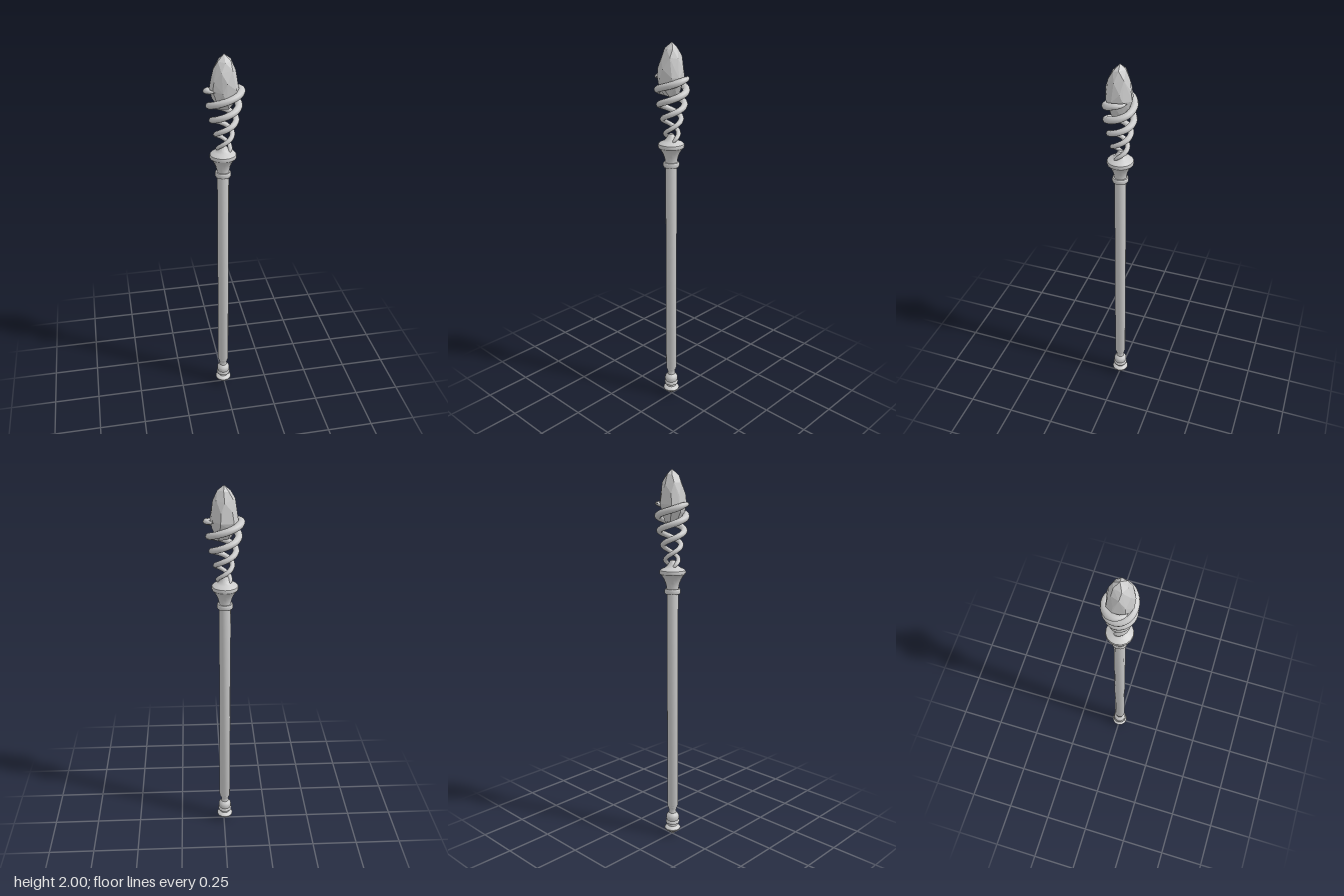
import * as THREE from 'three';
import { toCreasedNormals } from 'three/addons/utils/BufferGeometryUtils.js';
import { ConvexGeometry } from 'three/addons/geometries/ConvexGeometry.js';

const grey = new THREE.MeshStandardMaterial({ color: 0xcccccc });
const flat = new THREE.MeshStandardMaterial({ color: 0xcccccc, flatShading: true });
const AXIS_X = -0.005;

function add(group, name, geometry, material = grey) {
  const mesh = new THREE.Mesh(geometry, material);
  mesh.name = name;
  group.add(mesh);
  return mesh;
}

// Turned part from [radius, height] pairs, listed bottom to top
function turned(group, name, profile, sides = 16) {
  const points = profile.map(([r, y]) => new THREE.Vector2(r, y));
  const mesh = add(group, name, toCreasedNormals(new THREE.LatheGeometry(points, sides), 0.6));
  mesh.position.x = AXIS_X;
}

// Piecewise linear lookup in evenly spaced values
function sample(values, u) {
  const c = THREE.MathUtils.clamp(u, 0, values.length - 1);
  const i = Math.min(Math.floor(c), values.length - 2);
  return THREE.MathUtils.lerp(values[i], values[i + 1], c - i);
}

// Descending, narrowing spiral strand with an oval section and pointed tip
function strandGeometry() {
  const steps = 72, sides = 10, start = -0.9, end = 13.4;
  const radii = [0.083, 0.071, 0.059, 0.041, 0.03]; // one per half turn
  const position = [], index = [];
  for (let i = 0; i <= steps; i++) {
    const s = THREE.MathUtils.lerp(start, end, i / steps);
    const u = s / Math.PI;
    const r = sample(radii, u);
    const squash = 0.8 + 0.2 * THREE.MathUtils.clamp(s / 5, 0, 1);
    const y = 1.828 - 0.0235 * Math.max(s, s * 0.3);
    const taper = Math.max(0.04, Math.min(1, Math.sqrt(i / 7), Math.sqrt((steps - i) / 3)));
    const wide = sample([0.022, 0.019, 0.016, 0.013, 0.012], u) * taper;
    const tall = sample([0.018, 0.018, 0.016, 0.014, 0.012], u) * taper;
    for (let j = 0; j < sides; j++) {
      const b = (j / sides) * Math.PI * 2;
      const d = r + wide * Math.cos(b);
      position.push(d * Math.cos(s), y + tall * Math.sin(b), d * Math.sin(s) * squash);
      if (i < steps) {
        const p = i * sides + j, q = i * sides + (j + 1) % sides;
        index.push(p, q, p + sides, q, q + sides, p + sides);
      }
    }
  }
  const geometry = new THREE.BufferGeometry();
  geometry.setAttribute('position', new THREE.Float32BufferAttribute(position, 3));
  geometry.setIndex(index);
  geometry.computeVertexNormals();
  return geometry;
}

// Irregular cut stone: convex hull of slightly uneven rings
function crystalGeometry() {
  let seed = 11;
  const random = () => (seed = (seed * 16807) % 2147483647) / 2147483647;
  const rings = [[0.036, 1.745, 6], [0.06, 1.79, 7], [0.069, 1.835, 8],
    [0.064, 1.88, 7], [0.052, 1.93, 7], [0.034, 1.972, 6]];
  const points = [new THREE.Vector3(0, 2, 0)];
  rings.forEach(([r, y, n], k) => {
    for (let i = 0; i < n; i++) {
      const a = ((i + k * 0.5 + 0.35 * random()) / n) * Math.PI * 2;
      const d = r * (0.95 + 0.1 * random());
      points.push(new THREE.Vector3(d * Math.cos(a), y + 0.014 * (random() - 0.5), d * Math.sin(a) + 0.003));
    }
  });
  return new ConvexGeometry(points);
}

export function createModel() {
  const group = new THREE.Group();
  group.name = 'staff';

  turned(group, 'pommel', [
    [0, 0], [0.02, 0.018], [0.043, 0.036], [0.045, 0.043], [0.04, 0.05], [0.026, 0.057],
    [0.025, 0.068], [0.037, 0.074], [0.039, 0.081], [0.037, 0.088], [0.033, 0.092],
    [0.036, 0.1], [0.035, 0.118], [0.029, 0.128], [0.021, 0.136], [0.02, 0.148],
    [0.023, 0.164], [0.029, 0.176], [0.029, 0.18],
  ]);
  turned(group, 'shaft', [[0, 0.176], [0.026, 0.176], [0.03, 0.182], [0.03, 1.385]], 12);
  turned(group, 'collar', [
    [0.029, 1.378], [0.038, 1.378], [0.041, 1.383], [0.041, 1.399], [0.038, 1.404], [0.03, 1.404],
  ]);
  turned(group, 'flaredCup', [
    [0.031, 1.4], [0.032, 1.415], [0.037, 1.435], [0.046, 1.455], [0.058, 1.474],
    [0.066, 1.481], [0.068, 1.49], [0.066, 1.5], [0.058, 1.507], [0.042, 1.513],
    [0.03, 1.522], [0.02, 1.537], [0.012, 1.55], [0, 1.555],
  ]);

  // Two strands, half a turn apart
  const strand = strandGeometry();
  [0, Math.PI].forEach((turn, i) => {
    add(group, i ? 'rightSpiralStrand' : 'leftSpiralStrand', strand).rotation.y = turn;
  });

  add(group, 'crystal', crystalGeometry(), flat);
  return group;
}
